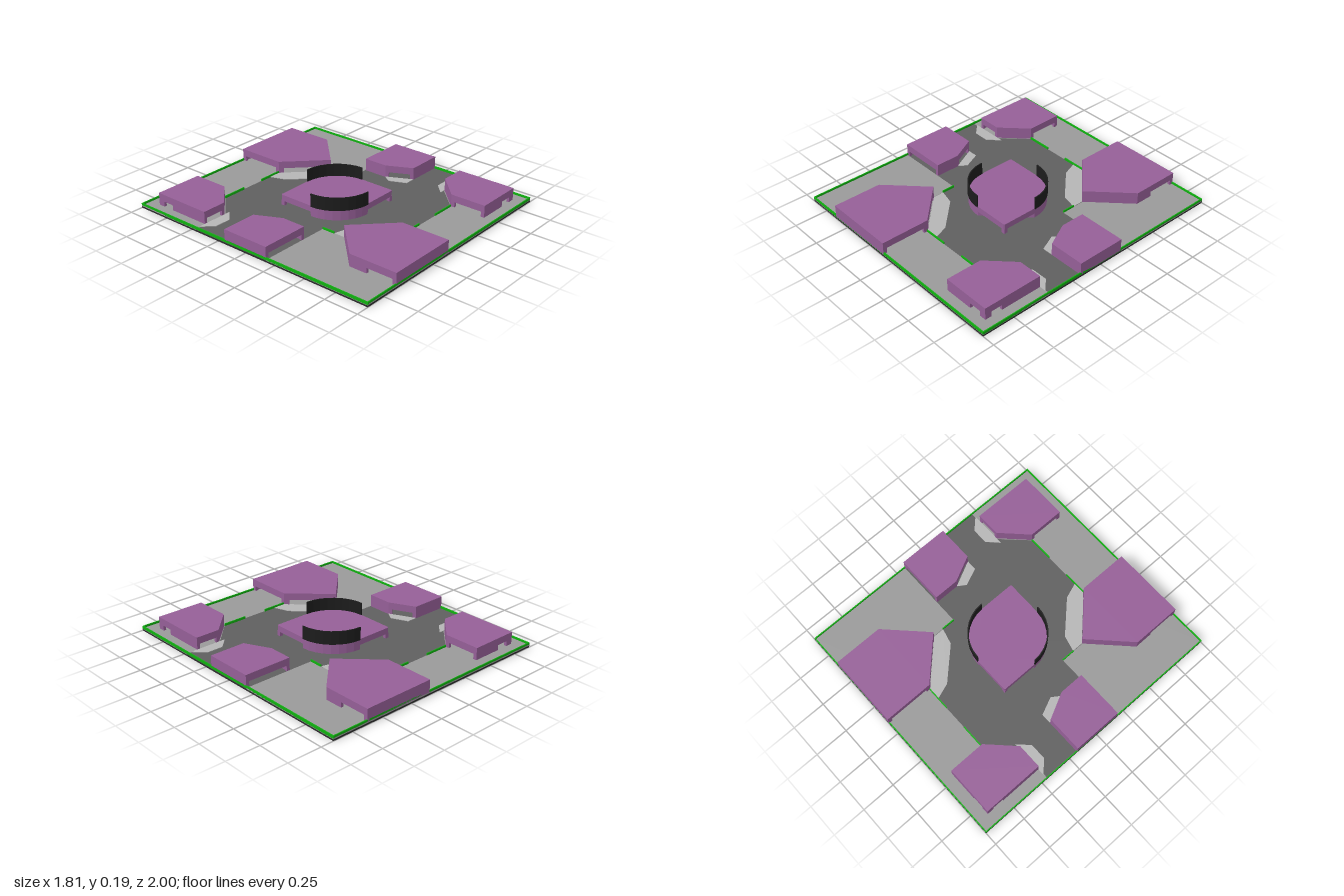
import * as THREE from 'three';

const mat = (color) => new THREE.MeshStandardMaterial({ color, flatShading: true, side: THREE.DoubleSide });
const PURPLE = mat(0x955f97), GREEN = mat(0x10b010), GREY = mat(0x999999);
const DARK = mat(0x5f5f5f), BASE = mat(0x2d2d2d), LIGHT = mat(0xb5b5b5), BLACK = mat(0x1c1c1c);

const FLOOR = 0.018, DOOR = 0.058, ROOF = 0.11;

function add(parent, name, geometry, material) {
  const mesh = new THREE.Mesh(geometry, material);
  mesh.name = name;
  parent.add(mesh);
  return mesh;
}

// Upright prism over a ground plan of [x, z] corners
function prism(parent, name, plan, y0, y1, material) {
  const shape = new THREE.Shape(plan.map(([x, z]) => new THREE.Vector2(x, -z)));
  const g = new THREE.ExtrudeGeometry(shape, { depth: y1 - y0, bevelEnabled: false });
  g.rotateX(-Math.PI / 2).translate(0, y0, 0);
  return add(parent, name, g, material);
}

const rect = (x0, x1, z0, z1) => [[x0, z0], [x1, z0], [x1, z1], [x0, z1]];

// Building: solid upper storey on thin walls; doors[i] = start and end fraction of the gap in edge i
function building(parent, name, plan, doors) {
  const group = new THREE.Group();
  group.name = name;
  prism(group, 'upperBlock', plan, DOOR, ROOF, PURPLE);
  const t = 0.02;
  plan.forEach(([ax, az], i) => {
    const [bx, bz] = plan[(i + 1) % plan.length];
    const len = Math.hypot(bx - ax, bz - az);
    // plans run clockwise seen from above, so the inside lies on this side
    const nx = -(bz - az) / len * t, nz = (bx - ax) / len * t;
    const at = (f) => [ax + (bx - ax) * f, az + (bz - az) * f];
    const spans = doors[i] ? [[0, doors[i][0]], [doors[i][1], 1]] : [[0, 1]];
    for (const [f0, f1] of spans) {
      const p = at(f0), q = at(f1);
      prism(group, 'wall', [p, q, [q[0] + nx, q[1] + nz], [p[0] + nx, p[1] + nz]], FLOOR, DOOR, PURPLE);
    }
  });
  parent.add(group);
}

// Points on a circle, angle measured from +x towards +z
function arc(r, from, to, steps = 8) {
  return Array.from({ length: steps + 1 }, (_, i) => {
    const a = THREE.MathUtils.degToRad(from + (to - from) * i / steps);
    return [r * Math.cos(a), r * Math.sin(a)];
  });
}

// One half of the board; the other half is the same turned by 180 degrees
function createHalf() {
  const half = new THREE.Group();
  half.name = 'boardHalf';

  // Raised grey ground
  prism(half, 'ground', [[-0.905, -1], [0.905, -1], [0.905, -0.185], [0.365, -0.185], [0.365, -0.365],
    [0.09, -0.64], [-0.455, -0.64], [-0.635, -0.455], [-0.905, -0.455]], 0.012, FLOOR + 0.002, GREY);

  // Large pointed building
  building(half, 'largeBuilding',
    [[0.09, -1], [0.632, -1], [0.632, -0.635], [0.362, -0.367], [0.09, -0.635]],
    { 1: [0.08, 0.63], 3: [0.1, 0.9], 4: [0.08, 0.92] });
  prism(half, 'largeApron', [[0, -0.638], [0.09, -0.638], [0.362, -0.367], [0.362, -0.285],
    [0.245, -0.315], [0.04, -0.525]], FLOOR, FLOOR + 0.004, LIGHT);

  // Corner building
  building(half, 'cornerBuilding',
    [[-0.82, -0.91], [-0.458, -0.91], [-0.458, -0.64], [-0.638, -0.46], [-0.82, -0.46]],
    { 0: [0.14, 0.39], 1: [0.1, 0.9], 3: [0.12, 0.88], 4: [0.7, 0.89] });
  prism(half, 'cornerApron', [[-0.87, -0.46], [-0.59, -0.46], [-0.67, -0.38], [-0.79, -0.38]],
    FLOOR, FLOOR + 0.004, LIGHT);

  // Side building
  building(half, 'sideBuilding',
    [[-0.905, -0.185], [-0.637, -0.185], [-0.545, 0], [-0.545, 0.182], [-0.905, 0.182]],
    { 1: [0.12, 0.88], 3: [0.07, 0.93] });
  prism(half, 'sideApron', [[-0.637, -0.185], [-0.56, -0.185], [-0.505, -0.06], [-0.545, 0]],
    FLOOR, FLOOR + 0.004, LIGHT);

  // Low green rails on the border and along the inner ground edges
  const rails = [[-0.905, 0.905, -1, -0.993], [-0.905, -0.898, -1, 1], [0.361, 0.368, -0.285, -0.185],
    [-0.455, -0.27, -0.643, -0.636], [-0.09, 0.09, -0.643, -0.636]];
  for (const r of rails) prism(half, 'rail', rect(...r), 0.015, 0.035, GREEN);

  // Curved parapet and corner leg of the central building
  prism(half, 'parapet', [...arc(0.278, -90, 0), ...arc(0.27, 0, -90)], 0.09, 0.187, BLACK);
  prism(half, 'cornerLeg', rect(0.245, 0.272, 0.245, 0.272), FLOOR, 0.055, PURPLE);
  return half;
}

export function createModel() {
  const model = new THREE.Group();
  model.name = 'arenaBoard';

  // Base plate and dark central floor
  prism(model, 'basePlate', rect(-0.905, 0.905, -1, 1), 0, 0.012, BASE);
  prism(model, 'darkFloor', rect(-0.904, 0.904, -0.999, 0.999), 0.012, FLOOR, DARK);

  const first = createHalf(), second = createHalf();
  second.rotation.y = Math.PI;
  model.add(first, second);

  // Central building: two rounded and two square corners, cut back below the square ones
  const r = 0.273, c = 0.265;
  const a = arc(r, 90, 180), b = arc(r, -90, 0);
  prism(model, 'centreRoof', [...a, [-r, -c], [-c, -r], ...b, [r, c], [c, r]], 0.052, 0.096, PURPLE);
  prism(model, 'centreCore', [...a, ...b], FLOOR, 0.052, PURPLE);
  return model;
}
